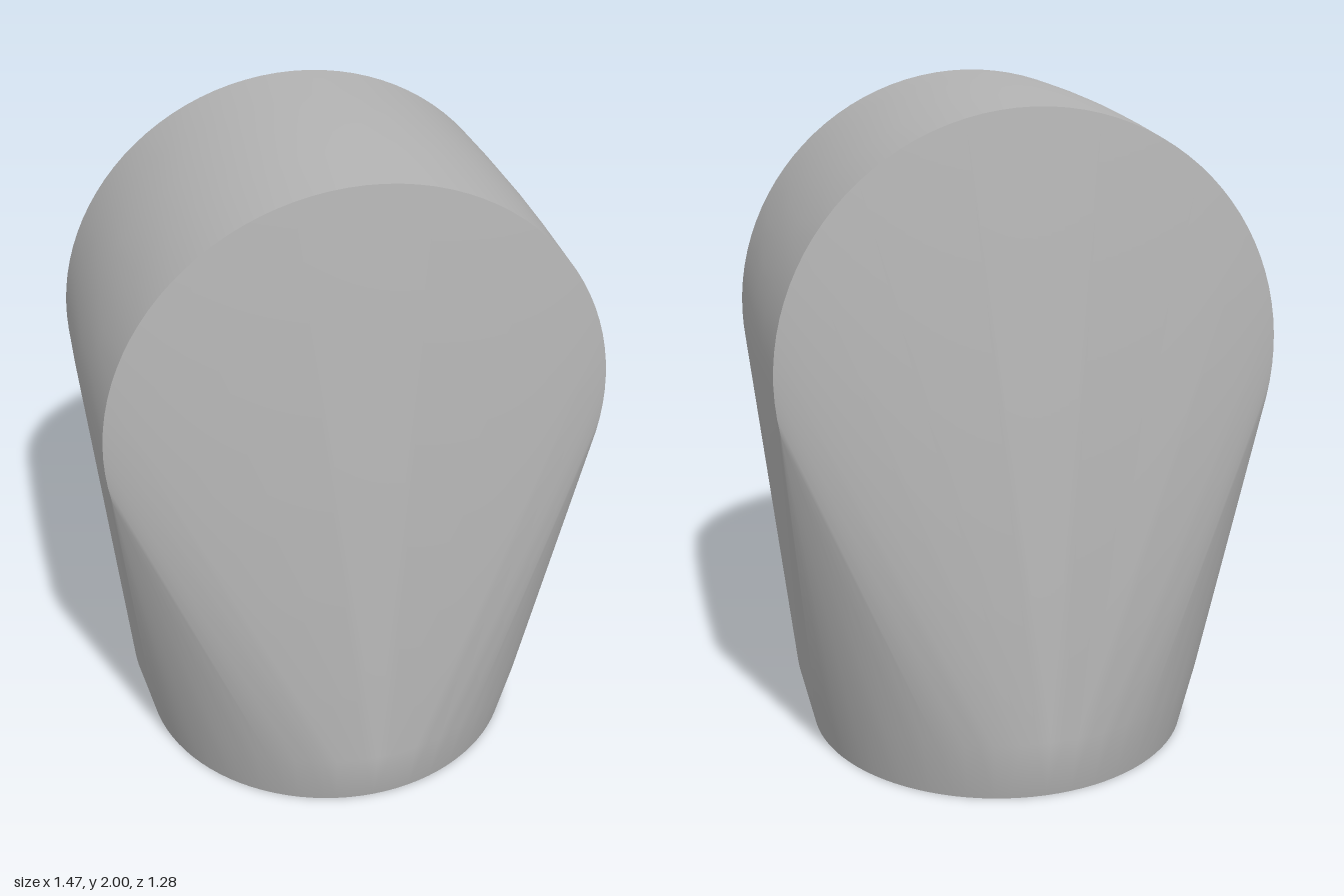
import * as THREE from 'three';
import { ConvexGeometry } from 'three/addons/geometries/ConvexGeometry.js';
import { toCreasedNormals } from 'three/addons/utils/BufferGeometryUtils.js';

const SEGMENTS = 96;

// Points of a circle; place() turns the two circle coordinates into a position
function ring(radius, place) {
  return Array.from({ length: SEGMENTS }, (_, i) => {
    const a = (i / SEGMENTS) * Math.PI * 2;
    return place(radius * Math.cos(a), radius * Math.sin(a));
  });
}

export function createModel() {
  const grey = new THREE.MeshStandardMaterial({ color: 0xb4b4b4 });
  grey.name = 'grey';
  const points = [];

  // Round foot that flares out: [radius, y]
  for (const [r, y] of [[0.595, 0], [0.64, 0.2]]) {
    points.push(...ring(r, (u, v) => new THREE.Vector3(u, y, v)));
  }

  // Upright, slightly crowned disc across the top: [radius, z]
  for (const [r, z] of [[0.726, -0.41], [0.7325, -0.2], [0.735, 0], [0.7325, 0.2], [0.726, 0.41]]) {
    points.push(...ring(r, (u, v) => new THREE.Vector3(u, 1.265 + v, z)));
  }

  // The body is a skin stretched tightly from the foot to the disc
  const body = new THREE.Mesh(toCreasedNormals(new ConvexGeometry(points), 0.6), grey);
  body.name = 'body';

  const model = new THREE.Group();
  model.name = 'taperedKnob';
  model.add(body);
  return model;
}
